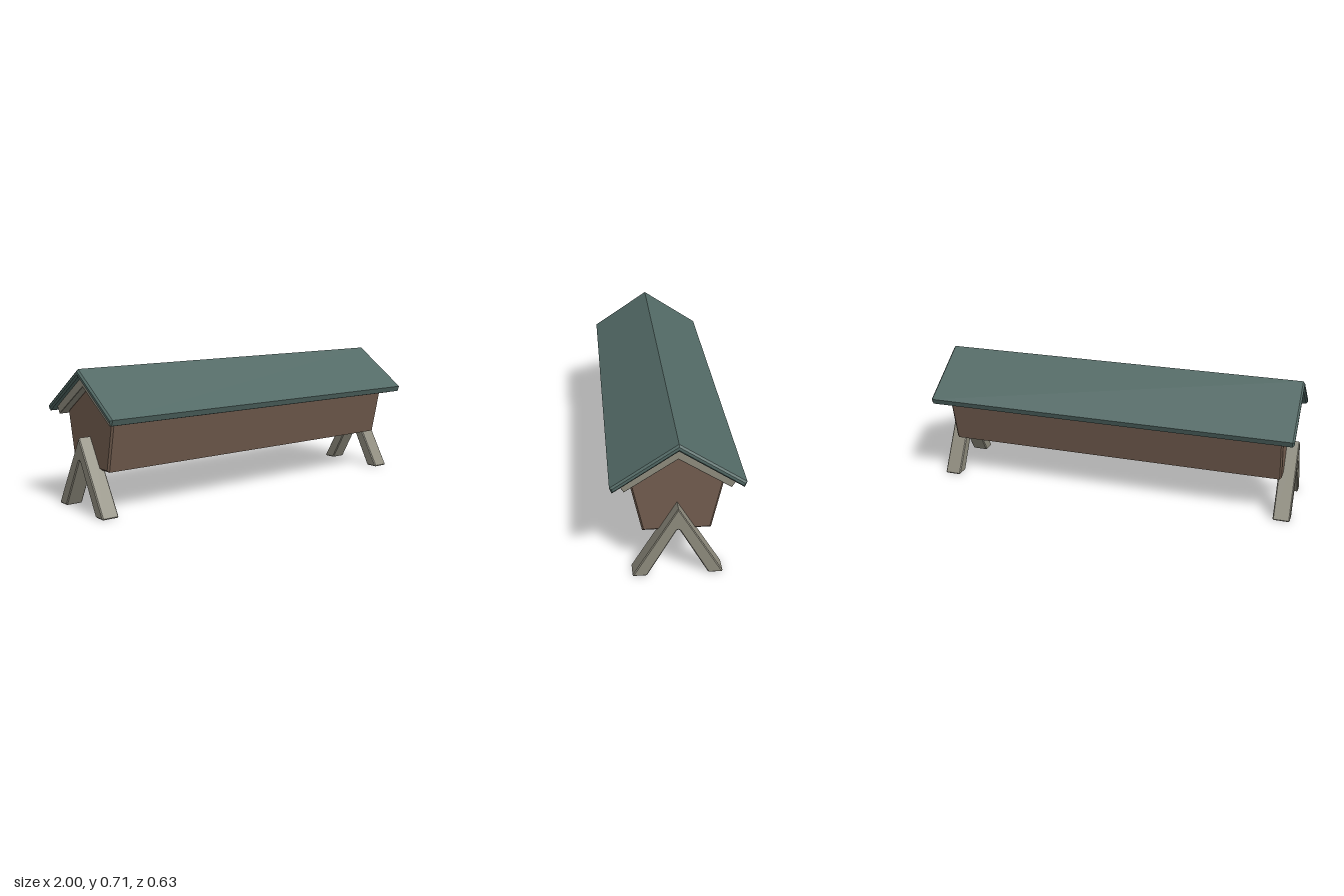
import * as THREE from 'three';

// Mirrors half an outline (z, y from top centre outwards and back) and extrudes it along x with bevelled edges
function prism(name, half, x0, x1, bevel, material) {
  const mirrored = half.filter(([z]) => z > 0).reverse().map(([z, y]) => [-z, y]);
  const inner = half[half.length - 1][0] === 0 ? [half[half.length - 1]] : [];
  const outer = half.filter(([z], i) => z > 0 || i === 0);
  const points = [...outer, ...inner, ...mirrored].map(([z, y]) => new THREE.Vector2(z, y));
  const geometry = new THREE.ExtrudeGeometry(new THREE.Shape(points), {
    depth: x1 - x0 - 2 * bevel,
    bevelEnabled: true,
    bevelThickness: bevel,
    bevelSize: bevel,
    bevelOffset: -bevel,
    bevelSegments: 1,
  });
  geometry.translate(0, 0, x0 + bevel);
  geometry.rotateY(Math.PI / 2);
  const mesh = new THREE.Mesh(geometry, material);
  mesh.name = name;
  return mesh;
}

function paint(name, color) {
  const material = new THREE.MeshStandardMaterial({ color });
  material.name = name;
  return material;
}

export function createModel() {
  const group = new THREE.Group();
  group.name = 'gabledTrough';
  const roofGreen = paint('roofGreen', 0x526965);
  const woodBrown = paint('woodBrown', 0x725d4f);
  const paleWood = paint('paleWood', 0x8f8c7e);

  // Roof shell and the pale lining just beneath it
  group.add(prism('roof', [[0, 0.712], [0.317, 0.5], [0.306, 0.471], [0, 0.675]], -1, 1, 0.009, roofGreen));
  group.add(prism('roofLining', [[0, 0.679], [0.272, 0.495], [0.25, 0.459], [0, 0.622]], -0.97, 0.97, 0.002, paleWood));

  // Five-sided body, tapering to a flat bottom
  group.add(prism('body', [[0, 0.626], [0.222, 0.478], [0.165, 0.216]], -0.935, 0.935, 0.009, woodBrown));

  // A-frame legs at both ends
  const leg = [[0, 0.372], [0.217, 0.006], [0.214, 0], [0.151, 0], [0.145, 0.006], [0.008, 0.252], [0, 0.256]];
  for (const [name, x] of [['rightLegs', -1], ['leftLegs', 0.91]]) {
    group.add(prism(name, leg, x, x + 0.09, 0.005, paleWood));
  }
  return group;
}
